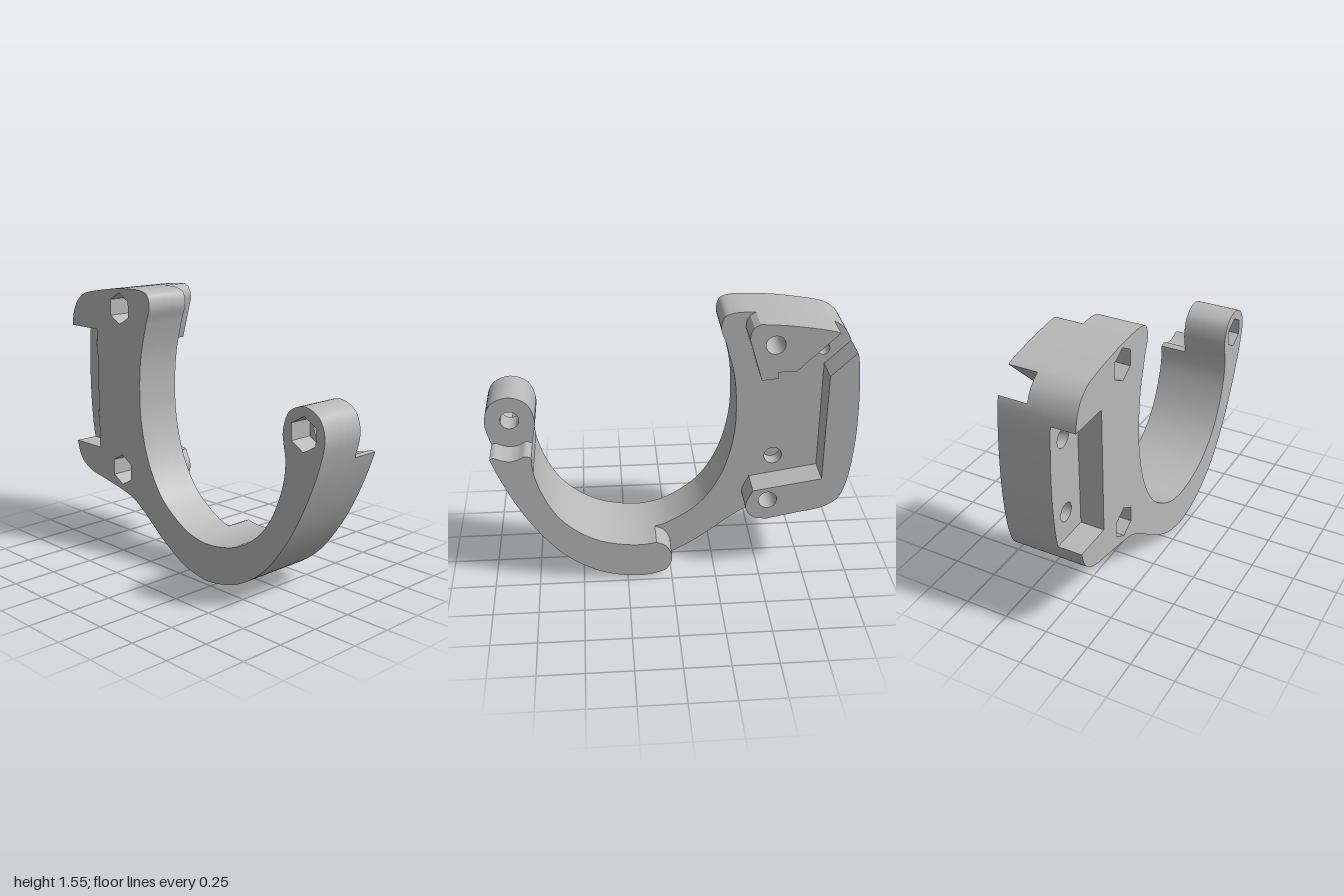
import * as THREE from 'three';
import { toCreasedNormals } from 'three/addons/utils/BufferGeometryUtils.js';

// Side profile, as [-z, y]; the numbers in run() below are indices into it.
const OUTLINE = [
  // ring (0-5)
  [-1, 0.96], [-0.962, 1.057], [-0.865, 1.097], [-0.768, 1.057], [-0.73, 0.95], [-0.74, 0.87],
  // inside of the hook (6-20)
  [-0.75, 0.815], [-0.74, 0.69], [-0.67, 0.5], [-0.575, 0.37], [-0.41, 0.26], [-0.2, 0.218], [-0.085, 0.23],
  [0, 0.26], [0.177, 0.385], [0.295, 0.575], [0.355, 0.8], [0.365, 0.985], [0.35, 1.175], [0.3, 1.37], [0.272, 1.46],
  // top (21-27)
  [0.29, 1.525], [0.34, 1.545], [0.45, 1.547], [0.605, 1.535], [0.82, 1.5], [0.867, 1.485], [0.93, 1.437],
  // back (28-34)
  [0.966, 1.37], [0.982, 1.29], [1, 0.98], [0.992, 0.75], [0.968, 0.58], [0.93, 0.48], [0.85, 0.425],
  // underside and outside of the hook (35-47)
  [0.71, 0.395], [0.535, 0.36], [0.435, 0.33], [0.34, 0.27], [0.177, 0.145], [0.015, 0.048], [-0.085, 0.017],
  [-0.2, 0.003], [-0.41, 0.048], [-0.6, 0.17], [-0.76, 0.365], [-0.87, 0.56], [-0.972, 0.815],
];

const curveOf = (pts, closed) =>
  new THREE.CatmullRomCurve3(pts.map(([u, y]) => new THREE.Vector3(u, y, 0)), closed, 'centripetal');
const outline = curveOf(OUTLINE, true);

// Points along the profile from index a to index b (b may pass the end).
function run(a, b) {
  const pts = [], steps = (b - a) * 6, n = OUTLINE.length;
  for (let i = 0; i <= steps; i++) {
    const p = outline.getPoint(((a + i / 6) / n) % 1);
    pts.push([p.x, p.y]);
  }
  return pts;
}

// Smooth open curve through points, without its two end points.
const smooth = (pts) =>
  curveOf(pts, false).getPoints(pts.length * 5).slice(1, -1).map((p) => [p.x, p.y]);

// Round or many-sided hole.
function hole([u, y], r, sides = 32) {
  const pts = [];
  for (let i = 0; i < sides; i++) {
    const a = Math.PI / 2 + (i / sides) * Math.PI * 2;
    pts.push(new THREE.Vector2(u + r * Math.cos(a), y + r * Math.sin(a)));
  }
  return new THREE.Path(pts);
}

export function createModel() {
  const group = new THREE.Group();
  const grey = new THREE.MeshStandardMaterial({ color: 0xb8b8b8 });
  grey.name = 'grey';

  // Extrudes a side profile across the width, from x0 to x1.
  function layer(name, pts, x0, x1, holes = []) {
    const shape = new THREE.Shape(pts.map(([u, y]) => new THREE.Vector2(u, y)));
    shape.holes.push(...holes);
    const geo = new THREE.ExtrudeGeometry(shape, { depth: x1 - x0, bevelEnabled: false });
    geo.rotateY(Math.PI / 2).translate(x0, 0, 0);
    const mesh = new THREE.Mesh(toCreasedNormals(geo, 0.5), grey);
    mesh.name = name;
    group.add(mesh);
  }

  const LEFT = 0.21, FACE = 0.05, BLIND = -0.03, RECESS = -0.08, RIGHT = -0.215;
  const ringHole = [-0.865, 0.96], topHole = [0.535, 1.43], lowHole = [0.535, 0.485];
  const railHoles = [[0.88, 1.17], [0.88, 0.735]];
  const R = 0.051;
  const boltHoles = () => [ringHole, topHole, lowHole, ...railHoles].map((c) => hole(c, R));
  const full = run(0, OUTLINE.length).slice(0, -1);

  // Outer side, with nut pockets and the recess in the back edge
  layer('nutPocketSide',
    [...run(32, 29 + OUTLINE.length), [0.745, 1.29], [0.745, 0.58]], RIGHT, RECESS,
    [ringHole, topHole, lowHole].map((c) => hole(c, 0.09, 6)));

  // Middle of the body, with two blind pin holes on its open face
  layer('bodyCore', full, RECESS, BLIND, boltHoles());
  layer('bodyFace', full, BLIND, FACE,
    [...boltHoles(), hole([0.58, 0.677], 0.05), hole([0.82, 1.327], 0.034)]);

  // Raised half of the hook, hollowed under the ring
  layer('raisedHook', [
    ...run(6, 12),
    ...smooth([[-0.085, 0.23], [-0.03, 0.2], [0.004, 0.12], [-0.03, 0.04], [-0.085, 0.017]]),
    ...run(41, 47),
    ...smooth([[-0.972, 0.815], [-0.95, 0.821], [-0.91, 0.805], [-0.865, 0.797],
      [-0.825, 0.805], [-0.783, 0.825], [-0.75, 0.815]]),
  ], FACE, LEFT);

  // Raised rail along the back, ending in a rounded foot
  layer('backRail', [
    ...run(28, 36),
    ...smooth([[0.535, 0.36], [0.47, 0.37], [0.425, 0.405], [0.413, 0.46], [0.45, 0.548]]),
    [0.45, 0.548], [0.83, 0.61], [0.83, 1.24],
  ], FACE, LEFT, [lowHole, ...railHoles].map((c) => hole(c, R)));

  // Raised block at the top, with a stepped lower edge
  layer('topBlock', [
    ...run(23, 26),
    [0.65, 1.275], [0.555, 1.275], [0.555, 1.237], [0.47, 1.23],
    [0.4, 1.465], [0.403, 1.5], [0.42, 1.53],
  ], FACE, LEFT, [hole(topHole, R)]);

  return group;
}
